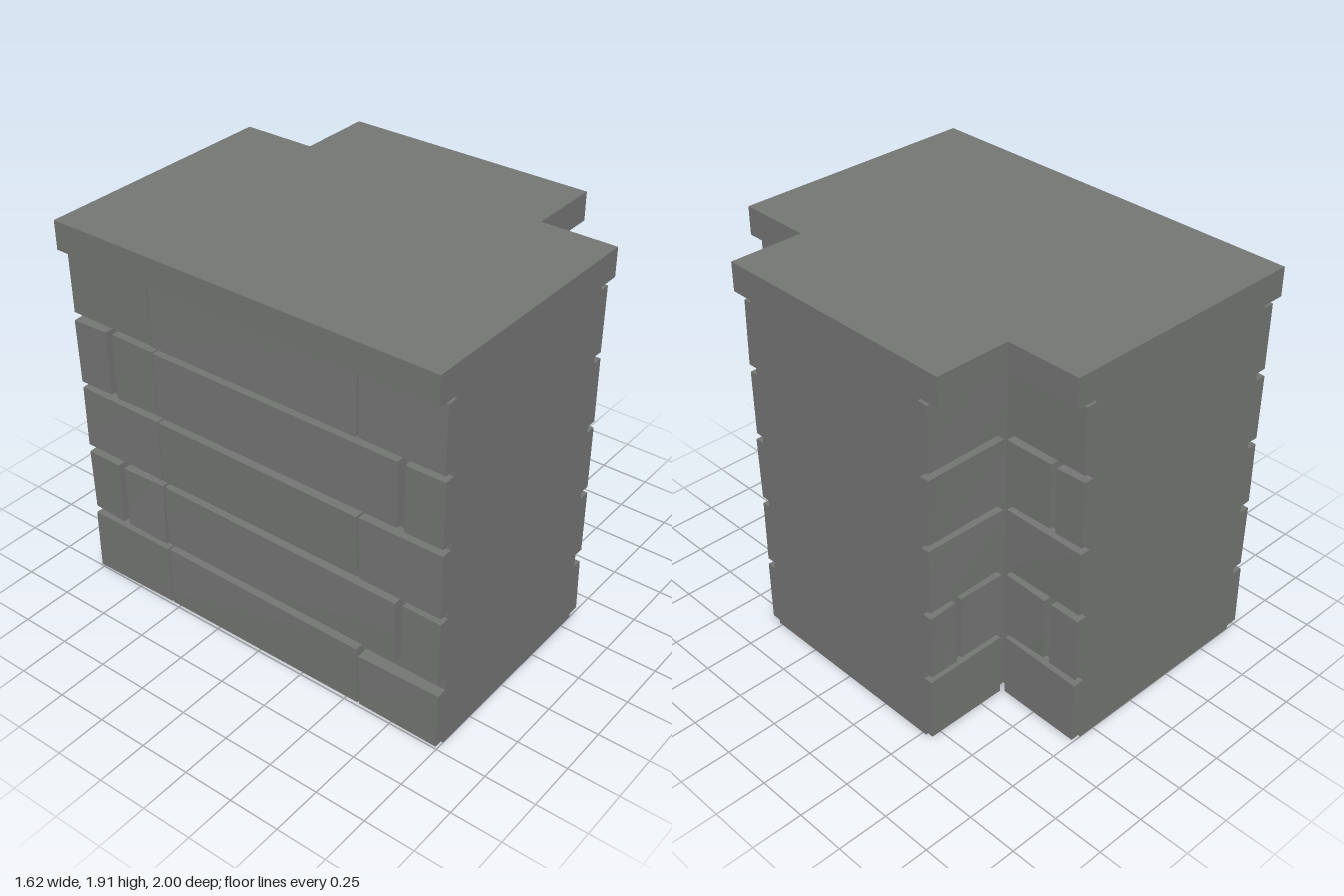
import * as THREE from 'three';

const stone = new THREE.MeshStandardMaterial({ color: 0x757775 });
stone.name = 'grey stone';

// Seeded jitter for slightly uneven brick faces
let seed = 7;
const rand = () => {
  seed = (seed * 16807) % 2147483647;
  return seed / 2147483647 - 0.5;
};

// T-shaped plan: a bar along z with a stub towards +x, extruded upward
function tBlock(name, left, inner, right, stubHalf, y0, y1) {
  const plan = [
    [left, -1], [inner, -1], [inner, -stubHalf], [right, -stubHalf],
    [right, stubHalf], [inner, stubHalf], [inner, 1], [left, 1],
  ].map(([x, z]) => new THREE.Vector2(x, z));
  const geo = new THREE.ExtrudeGeometry(new THREE.Shape(plan), { depth: y1 - y0, bevelEnabled: false });
  geo.rotateX(-Math.PI / 2).translate(0, y0, 0);
  const mesh = new THREE.Mesh(geo, stone);
  mesh.name = name;
  return mesh;
}

// Box between two corners; the outer face on the given axis and side is uneven
function brick(min, max, axis, side) {
  const size = max.map((v, i) => v - min[i]);
  const geo = new THREE.BoxGeometry(...size);
  const depthJitter = Array.from({ length: 8 }, () => rand() * 0.01);
  const heightJitter = Array.from({ length: 8 }, () => rand() * 0.006);
  const pos = geo.attributes.position;
  for (let i = 0; i < pos.count; i++) {
    const p = [pos.getX(i), pos.getY(i), pos.getZ(i)];
    const corner = (p[0] > 0 ? 1 : 0) + (p[1] > 0 ? 2 : 0) + (p[2] > 0 ? 4 : 0);
    if (p[axis] * side > 0) {
      p[axis] += depthJitter[corner];
      p[1] += heightJitter[corner];
    }
    pos.setXYZ(i, ...p.map((v, k) => v + (min[k] + max[k]) / 2));
  }
  geo.computeVertexNormals();
  const mesh = new THREE.Mesh(geo, stone);
  mesh.name = 'brick';
  return mesh;
}

export function createModel() {
  seed = 7;
  const model = new THREE.Group();
  model.name = 'wallSection';
  model.add(tBlock('mortarCore', -0.7, 0.33, 0.81, 0.52, 0, 1.775));
  model.add(tBlock('capSlab', -0.81, 0.44, 0.81, 0.63, 1.77, 1.91));

  const courses = [[0.02, 0.337], [0.373, 0.695], [0.73, 1.047], [1.08, 1.402], [1.437, 1.757]];
  // Upright joints in the inner corner faces, per course: [front, back]
  const joints = { 1: [[0.803, 0.837], [0.81, 0.848]], 3: [[0.763, 0.8], [0.82, 0.855]] };

  courses.forEach(([y0, y1], row) => {
    const course = new THREE.Group();
    course.name = `brickCourse${row + 1}`;
    model.add(course);

    // Long back wall facing -x
    const spans = row % 2
      ? [[-1, -0.81], [-0.775, -0.535], [-0.525, 0.775], [0.81, 1]]
      : [[-1, -0.535], [-0.525, 0.575], [0.585, 1]];
    for (const [a, b] of spans) {
      const top = row === 0 && b === 1 ? 0.305 : y1;
      course.add(brick([-0.755, y0, a], [-0.7, top, b], 0, -1));
    }

    // Both inner corners, front and back
    [1, -1].forEach((s, k) => {
      const top = row === 0 && s > 0 ? 0.305 : y1;
      const cut = joints[row]?.[k];
      const sideSpans = cut ? [[0.578, cut[0]], [cut[1], 1]] : [[0.578, 1]];
      for (const [a, b] of sideSpans) {
        const [z0, z1] = s > 0 ? [a, b] : [-b, -a];
        course.add(brick([0.33, y0, z0], [0.382, top, z1], 0, 1));
      }
      const stubSpans = row === 1 ? [[0.392, 0.63], [0.665, 0.81]] : [[0.392, 0.81]];
      stubSpans.forEach(([a, b], i) => {
        const stubTop = row === 1 && i === 0 && s > 0 ? 0.66 : y1;
        const [z0, z1] = s > 0 ? [0.52, 0.565] : [-0.565, -0.52];
        course.add(brick([a, y0, z0], [b, stubTop, z1], 2, s));
      });
    });
  });
  return model;
}
